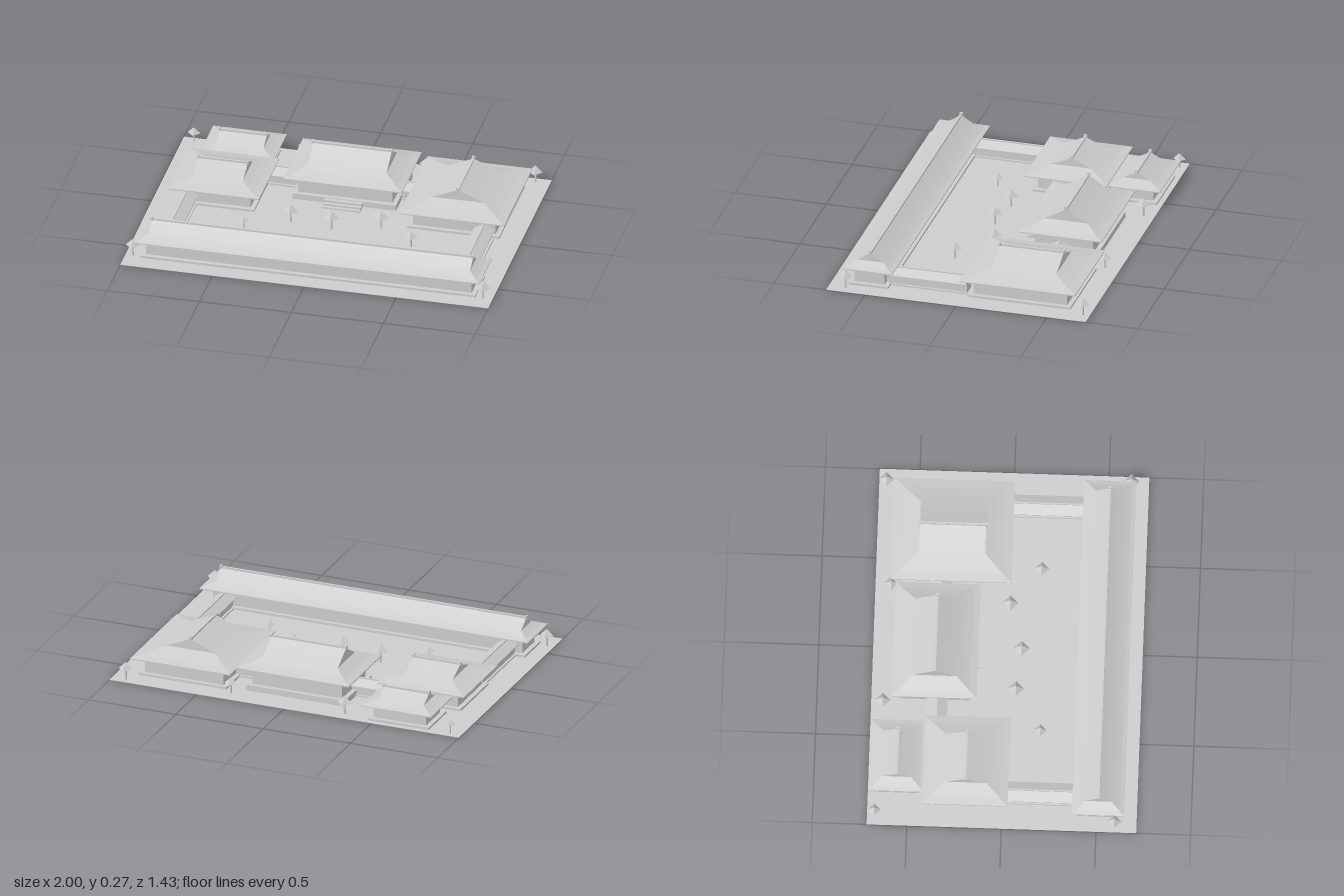
import * as THREE from 'three';

const stone = new THREE.MeshStandardMaterial({ color: 0xcccccc, flatShading: true });
stone.name = 'pale grey';

function add(parent, name, geometry, x = 0, y = 0, z = 0) {
  const mesh = new THREE.Mesh(geometry, stone);
  mesh.name = name;
  mesh.position.set(x, y, z);
  parent.add(mesh);
  return mesh;
}

// Box standing on height y
function block(parent, name, w, h, d, x, y, z) {
  return add(parent, name, new THREE.BoxGeometry(w, h, d), x, y + h / 2, z);
}

// Hip-and-gable roof with concave slopes, ridge along x
function roofGeometry(hx, hz, inset, eave, ridge) {
  const depths = [0, 1 / 3, 2 / 3, 1].map(t => t * inset);
  for (let i = 1; i <= 3; i++) depths.push(inset + (hz - inset) * i / 3);
  const rings = depths.map(d => ({
    x: hx - Math.min(d, inset),
    y: eave + (ridge - eave) * Math.pow(d / hz, 1.3),
    z: hz - d,
  }));
  const points = [];
  const quad = (a, b, c, d) => points.push(...a, ...b, ...c, ...a, ...c, ...d);
  for (let i = 0; i < rings.length - 1; i++) {
    const a = rings[i], b = rings[i + 1];
    for (const s of [1, -1]) {
      quad([-s * a.x, a.y, s * a.z], [s * a.x, a.y, s * a.z],
        [s * b.x, b.y, s * b.z], [-s * b.x, b.y, s * b.z]);
      quad([s * a.x, a.y, s * a.z], [s * a.x, a.y, -s * a.z],
        [s * b.x, b.y, -s * b.z], [s * b.x, b.y, s * b.z]);
    }
  }
  const geometry = new THREE.BufferGeometry();
  geometry.setAttribute('position', new THREE.Float32BufferAttribute(points, 3));
  geometry.computeVertexNormals();
  return geometry;
}

// Hall: podium, walls, eaves, roof, ridge and ridge-end ornaments
function hall(parent, name, o) {
  const g = new THREE.Group();
  g.name = name;
  g.position.set(o.x, 0, o.z);
  if (o.turned) g.rotation.y = Math.PI / 2;
  parent.add(g);
  const { hx, hz, inset, eave, ridge, base = 0.014, over = 0.06 } = o;
  block(g, 'podium', 2 * (hx - over + 0.025), base, 2 * (hz - over + 0.025), 0, 0, 0);
  block(g, 'walls', 2 * (hx - over), eave - base, 2 * (hz - over), 0, base, 0);
  block(g, 'eaves', 2 * hx, 0.006, 2 * hz, 0, eave - 0.006, 0);
  add(g, 'roof', roofGeometry(hx, hz, inset, eave, ridge));
  block(g, 'ridge', 2 * (hx - inset) + 0.008, 0.01, 0.012, 0, ridge - 0.003, 0);
  for (const s of [-1, 1]) {
    block(g, 'ridgeOrnament', 0.012, 0.017, 0.018, s * (hx - inset), ridge - 0.004, 0);
  }
  return g;
}

// Covered corridor with a gabled roof, running along x or z
function corridor(parent, x, z, length, alongX) {
  const g = new THREE.Group();
  g.name = 'corridor';
  g.position.set(x, 0, z);
  if (alongX) g.rotation.y = Math.PI / 2;
  parent.add(g);
  block(g, 'corridorBase', 0.1, 0.01, length, 0, 0, 0);
  block(g, 'corridorWalls', 0.075, 0.055, length, 0, 0.008, 0);
  const section = new THREE.Shape([
    new THREE.Vector2(-0.056, 0.056), new THREE.Vector2(0.056, 0.056),
    new THREE.Vector2(0.056, 0.061), new THREE.Vector2(0, 0.09), new THREE.Vector2(-0.056, 0.061),
  ]);
  const roof = new THREE.ExtrudeGeometry(section, { depth: length, bevelEnabled: false });
  add(g, 'corridorRoof', roof, 0, 0, -length / 2);
  block(g, 'corridorRidge', 0.008, 0.007, length, 0, 0.087, 0);
}

function tree(parent, x, z, size) {
  const g = new THREE.Group();
  g.name = 'tree';
  g.position.set(x, 0, z);
  g.scale.setScalar(size);
  parent.add(g);
  add(g, 'trunk', new THREE.CylinderGeometry(0.005, 0.006, 0.075, 6), 0, 0.0375, 0);
  add(g, 'canopy', new THREE.ConeGeometry(0.043, 0.042, 4), 0, 0.089, 0);
}

export function createModel() {
  const model = new THREE.Group();
  model.name = 'courtyardCompound';
  block(model, 'ground', 2, 0.002, 1.425, 0, 0, 0);

  // Halls around the courtyard
  hall(model, 'frontHall', { x: -0.004, z: 0.508, hx: 0.94, hz: 0.138, inset: 0.067, eave: 0.106, ridge: 0.183, over: 0.055 });
  hall(model, 'mainHall', { x: -0.003, z: -0.38, hx: 0.322, hz: 0.225, inset: 0.108, eave: 0.14, ridge: 0.254, base: 0.034, over: 0.065 });
  hall(model, 'leftHall', { x: 0.63, z: -0.312, hx: 0.318, hz: 0.285, inset: 0.143, eave: 0.106, ridge: 0.207, turned: true });
  hall(model, 'rightHall', { x: -0.661, z: -0.198, hx: 0.249, hz: 0.227, inset: 0.115, eave: 0.104, ridge: 0.185 });
  hall(model, 'rearHall', { x: -0.64, z: -0.562, hx: 0.2, hz: 0.147, inset: 0.072, eave: 0.092, ridge: 0.158, over: 0.05 });

  // Steps in front of the main hall
  for (let i = 0; i < 3; i++) {
    block(model, 'step', 0.205, 0.01 * (i + 1), 0.075 - 0.02 * i, -0.005, 0, -0.13 - (0.075 + 0.02 * i) / 2);
  }

  // Corridors joining the halls
  corridor(model, -0.81, 0.205, 0.44, false);
  corridor(model, 0.803, 0.205, 0.44, false);
  corridor(model, -0.365, -0.365, 0.21, true);
  corridor(model, 0.335, -0.365, 0.18, true);

  // Trees: x, z, size
  const trees = [
    [-0.935, -0.675, 0.8], [-0.322, -0.652, 0.97], [0.338, -0.63, 0.85], [0.921, -0.675, 0.93],
    [-0.234, 0.05, 1], [-0.007, 0.073, 1], [0.246, 0.004, 1], [0.447, 0.163, 0.9],
    [-0.457, 0.187, 0.76], [-0.96, 0.595, 0.9], [0.95, 0.62, 1],
  ];
  for (const t of trees) tree(model, ...t);
  return model;
}
